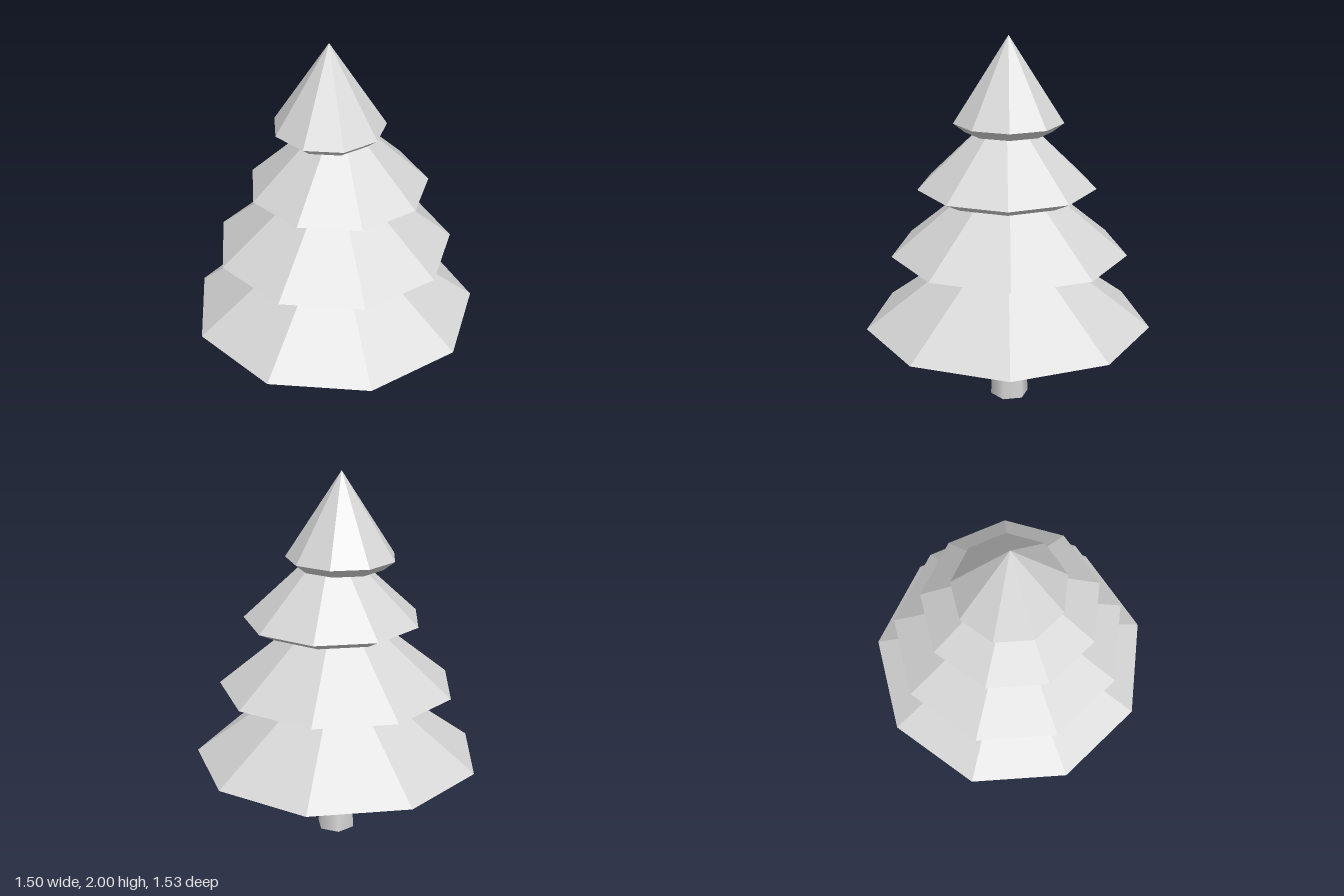
import * as THREE from 'three';

// Tiers: centre x, z; rim radius, lip radius; rim, lip and tip heights
const TIERS = [
  { x: -0.023, z: 0, rim: 0.775, lip: 0.61, rimY: 0.442, lipY: 0.393, tipY: 1.018 },
  { x: -0.017, z: -0.004, rim: 0.635, lip: 0.5, rimY: 0.849, lipY: 0.798, tipY: 1.368 },
  { x: -0.007, z: 0.021, rim: 0.474, lip: 0.373, rimY: 1.217, lipY: 1.167, tipY: 1.662 },
  { x: -0.035, z: -0.016, rim: 0.293, lip: 0.231, rimY: 1.551, lipY: 1.502, tipY: 2 },
];

// Nine-sided open cone shell with a lip tucked under its rim
function tierGeometry(t) {
  const profile = [
    [t.lip, t.lipY], [t.rim, t.rimY], [0, t.tipY],
  ].map(([r, y]) => new THREE.Vector2(r, y));
  const geometry = new THREE.LatheGeometry(profile, 9, Math.PI / 2).toNonIndexed();
  geometry.computeVertexNormals();
  return geometry;
}

export function createModel() {
  const model = new THREE.Group();
  model.name = 'pineTree';
  const grey = new THREE.MeshStandardMaterial({ color: 0xd6d6d6, side: THREE.DoubleSide });
  grey.name = 'light grey';

  // Tapered six-sided open trunk, smooth around, ending inside the lowest tier
  const height = 0.605;
  const trunk = new THREE.Mesh(
    new THREE.CylinderGeometry(0.077, 0.105, height, 6, 1, true), grey);
  trunk.name = 'trunk';
  trunk.rotation.y = Math.PI / 2;
  trunk.position.set(-0.011, height / 2, 0);
  model.add(trunk);

  // Foliage, each tier slightly off centre
  TIERS.forEach((t, i) => {
    const tier = new THREE.Mesh(tierGeometry(t), grey);
    tier.name = `foliageTier${i + 1}`;
    tier.position.set(t.x, 0, t.z);
    model.add(tier);
  });
  return model;
}
